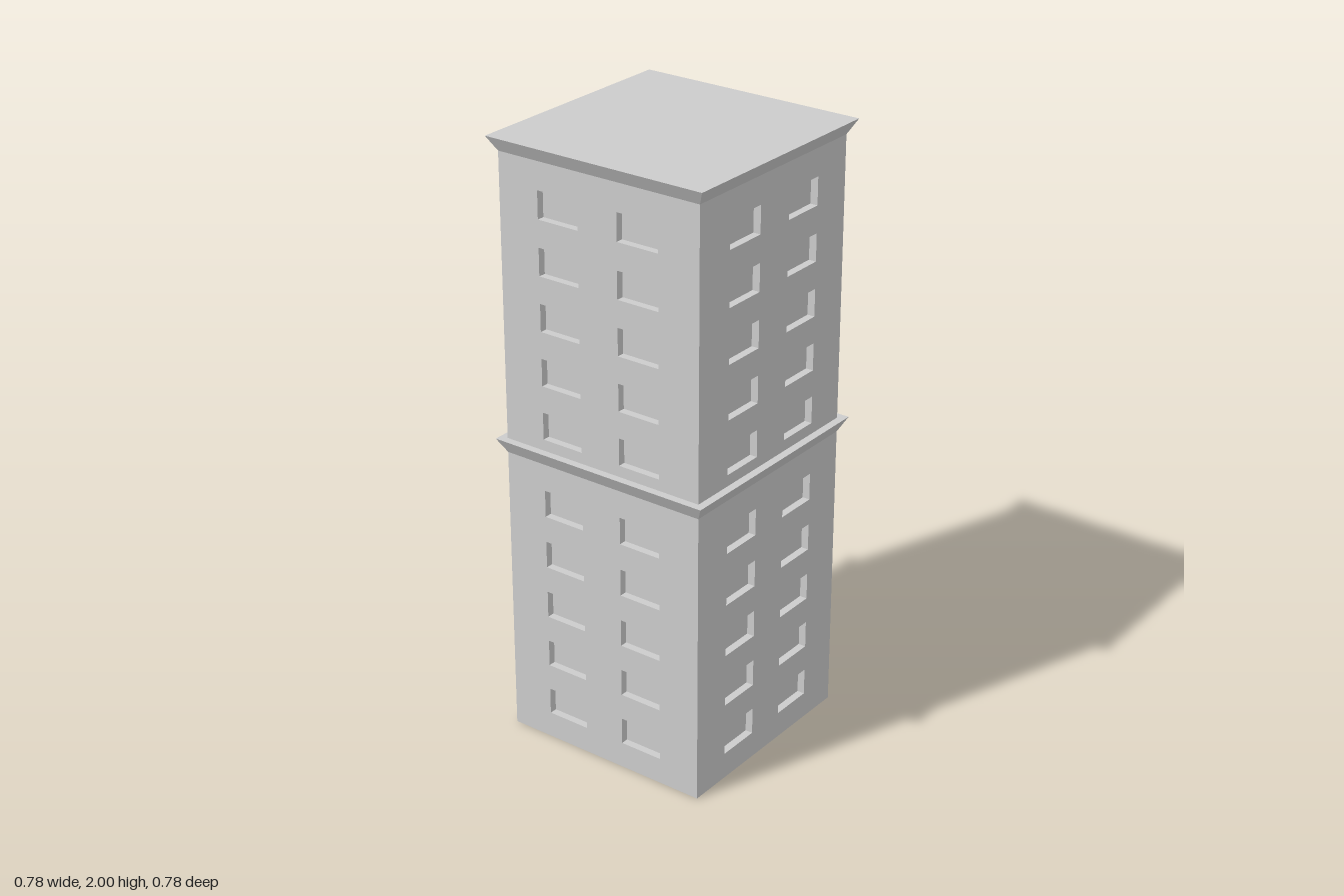
import * as THREE from 'three';

const HALF = 0.363;    // half width of the walls
const EAVE = 0.389;    // half width of the cornice tops
const RECESS = 0.025;  // depth of the window niches
const FLOORS = 5, PITCH = 0.1776;
const WIN = { x: 0.071, w: 0.148, h: 0.09 };

const material = new THREE.MeshStandardMaterial({ color: 0xcccccc, flatShading: true });

function add(parent, name, geometry) {
  const mesh = new THREE.Mesh(geometry, material);
  mesh.name = name;
  parent.add(mesh);
  return mesh;
}

function rectangle(Type, x0, y0, x1, y1) {
  return new Type([[x0, y0], [x1, y0], [x1, y1], [x0, y1]].map(p => new THREE.Vector2(...p)));
}

// Wall slab with two columns of window openings; one end stops short so four slabs interlock
function wallGeometry(y0, y1, firstSill) {
  const shape = rectangle(THREE.Shape, -HALF, y0, HALF - RECESS, y1);
  for (let i = 0; i < FLOORS; i++) {
    const sill = firstSill + i * PITCH;
    for (const x of [-WIN.x - WIN.w, WIN.x]) {
      shape.holes.push(rectangle(THREE.Path, x, sill, x + WIN.w, sill + WIN.h));
    }
  }
  const geometry = new THREE.ExtrudeGeometry(shape, { depth: RECESS, bevelEnabled: false });
  return geometry.translate(0, 0, HALF - RECESS);
}

// Five storeys: four walls around a core that forms the window panes
function block(name, y0, y1, firstSill) {
  const group = new THREE.Group();
  group.name = name;
  const wall = wallGeometry(y0, y1, firstSill);
  ['frontWall', 'leftWall', 'backWall', 'rightWall'].forEach((side, i) => {
    add(group, side, wall).rotation.y = i * Math.PI / 2;
  });
  const inner = 2 * (HALF - RECESS);
  add(group, 'windowPanes', new THREE.BoxGeometry(inner, y1 - y0, inner)).position.y = (y0 + y1) / 2;
  return group;
}

// Square band flaring outwards to a flat top
function cornice(parent, name, y0, y1) {
  const geometry = new THREE.CylinderGeometry(EAVE * Math.SQRT2, HALF * Math.SQRT2, y1 - y0, 4);
  geometry.rotateY(Math.PI / 4);
  add(parent, name, geometry).position.y = (y0 + y1) / 2;
}

export function createModel() {
  const model = new THREE.Group();
  model.name = 'apartmentTower';
  model.add(block('lowerBlock', 0, 0.978, 0.088));
  cornice(model, 'middleCornice', 0.978, 1.026);
  model.add(block('upperBlock', 1.026, 1.953, 1.063));
  cornice(model, 'roofCornice', 1.953, 2);
  return model;
}
